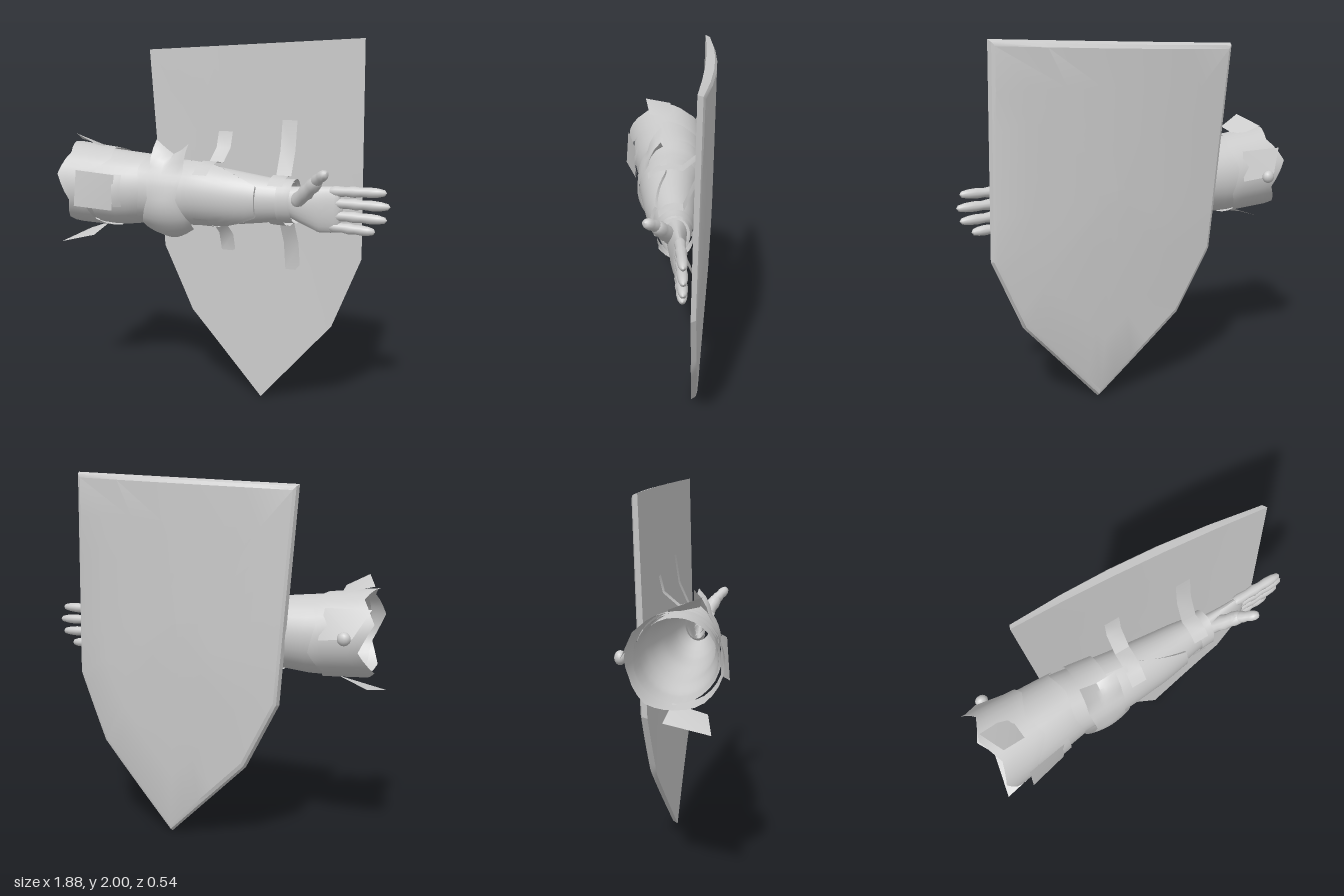
import * as THREE from 'three';
import { toCreasedNormals } from 'three/addons/utils/BufferGeometryUtils.js';

const material = new THREE.MeshStandardMaterial({ color: 0xcccccc, side: THREE.DoubleSide });
const { lerp, clamp } = THREE.MathUtils;
const V = (x, y, z) => new THREE.Vector3(x, y, z);

// Surface from a function of u, v in 0..1
function sheet(name, nu, nv, fn, crease = 0.7) {
  const pos = [], index = [];
  for (let j = 0; j <= nv; j++)
    for (let i = 0; i <= nu; i++) pos.push(...fn(i / nu, j / nv).toArray());
  for (let j = 0; j < nv; j++)
    for (let i = 0; i < nu; i++) {
      const a = j * (nu + 1) + i, b = a + nu + 1;
      index.push(a, a + 1, b, b, a + 1, b + 1);
    }
  const g = new THREE.BufferGeometry();
  g.setAttribute('position', new THREE.Float32BufferAttribute(pos, 3));
  g.setIndex(index);
  const m = new THREE.Mesh(toCreasedNormals(g, crease), material);
  m.name = name;
  return m;
}

// Linear lookup in rows whose first entry is the key
function lookup(rows, k) {
  let i = 0;
  while (i < rows.length - 2 && k > rows[i + 1][0]) i++;
  const t = clamp((k - rows[i][0]) / (rows[i + 1][0] - rows[i][0]), 0, 1);
  return rows[i].map((n, c) => lerp(n, rows[i + 1][c], t));
}

// Sections along x: x, centre y, centre z, radius y, radius z
const ARM = [
  [-0.9, 1.18, 0.03, 0.2, 0.2], [-0.6, 1.16, 0.02, 0.2, 0.19], [-0.44, 1.165, 0.01, 0.185, 0.175],
  [-0.28, 1.16, 0.02, 0.17, 0.165], [-0.1, 1.165, 0.03, 0.16, 0.145], [0.1, 1.155, 0.03, 0.145, 0.125],
  [0.25, 1.155, 0.025, 0.125, 0.105], [0.42, 1.16, 0.025, 0.1, 0.075]];
const PALM = [
  [0.39, 1.155, 0.02, 0.08, 0.055], [0.47, 1.14, 0.02, 0.1, 0.046], [0.56, 1.125, 0.018, 0.122, 0.038],
  [0.64, 1.13, 0.014, 0.122, 0.032], [0.67, 1.13, 0.012, 0.11, 0.024], [0.685, 1.13, 0.012, 0.01, 0.004]];

// Point on a sectioned body; angle 0 is the top, PI/2 the front
function on(rows, x, a, off = 0) {
  const [, cy, cz, ry, rz] = lookup(rows, x);
  return V(x, cy + (ry + off) * Math.cos(a), cz + (rz + off) * Math.sin(a));
}

// Band around the arm with ragged ends, jags in order of angle
function band(name, x0, x1, off0, off1, jag0 = [0, 0], jag1 = [0, 0]) {
  const at = (j, u) => lookup(j.map((n, i) => [i / (j.length - 1), n]), u)[1];
  return sheet(name, 30, 4, (u, v) => {
    const x = lerp(x0 + at(jag0, u), x1 + at(jag1, u), v);
    return on(ARM, x, u * Math.PI * 2, lerp(off0, off1, v));
  });
}

// Flat four-cornered flap
const flap = (name, a, b, c, d) => sheet(name, 1, 1, (u, v) =>
  V(...a).lerp(V(...b), u).lerp(V(...d).lerp(V(...c), u), v));

const OUTLINE = [[-0.55, 1.93], [0.76, 2], [0.78, 0.87], [0.62, 0.48], [0.2, 0], [-0.26, 0.44], [-0.45, 0.8]];
const bow = (x, y) => Math.max(0, 1 - ((x - 0.11) / 0.66) ** 2) * Math.min(1, y);
const shieldFront = (x, y) => -0.12 + 0.1 * (x - 0.11) + 0.018 * (2 - y) - 0.02 * bow(x, y);

// Closed plate: front centre, rim, bevelled back, back centre
function shield() {
  const layers = [[0.001, 0], [0.35, 0], [0.7, 0], [1, 0], [0.985, 1], [0.96, 1.25], [0.7, 1.25], [0.35, 1.25], [0.001, 1.25]];
  const n = OUTLINE.length;
  return sheet('shield', n * 5, layers.length - 1, (u, v) => {
    const [s, back] = layers[Math.round(v * (layers.length - 1))];
    const k = Math.round(u * n * 5), i = Math.floor(k / 5) % n, t = (k % 5) / 5;
    const p = OUTLINE[i], q = OUTLINE[(i + 1) % n];
    const x = lerp(0.12, lerp(p[0], q[0], t), s), y = lerp(1.2, lerp(p[1], q[1], t), s);
    return V(x, y, shieldFront(x, y) - back * (0.025 + 0.021 * bow(x, y)));
  }, 0.35);
}

// Strap from the side of the arm out to the shield; side +1 goes up, -1 down
function strap(x, width, side, reach, skew) {
  const path = [0.85, 0.45, 0, -0.4].map(a => on(ARM, x, side > 0 ? a : Math.PI - a, 0.022));
  const edge = path[3].y;
  path.push(V(x, lerp(edge, reach, 0.45), shieldFront(x, edge) + 0.025));
  path.push(V(x, reach, shieldFront(x, reach) + 0.006));
  return sheet('shieldStrap', 1, path.length - 1, (u, v) => {
    const p = path[Math.round(v * (path.length - 1))].clone();
    p.x += (u - 0.5) * width + skew * v;
    return p;
  });
}

// Finger with knuckle swellings
function finger(name, from, to, r) {
  const d = to.clone().sub(from), len = d.length();
  const profile = [[0.85, 0], [1, 0.1], [0.86, 0.28], [1.02, 0.42], [0.84, 0.56], [0.94, 0.7], [0.82, 0.85], [0.55, 0.96], [0, 1]]
    .map(([w, t]) => new THREE.Vector2(w * r, t * len));
  const m = new THREE.Mesh(new THREE.LatheGeometry(profile, 12), material);
  m.position.copy(from);
  m.quaternion.setFromUnitVectors(V(0, 1, 0), d.normalize());
  m.name = name;
  return m;
}

export function createModel() {
  const model = new THREE.Group();
  model.add(shield());

  // Sleeve and upper arm plates
  model.add(sheet('sleeve', 28, 30, (u, v) => on(ARM, lerp(-0.84, 0.42, v), u * Math.PI * 2)));
  model.add(band('shoulderCuff', -0.89, -0.66, 0.03, 0.022,
    [-0.03, 0.02, -0.02, 0.05, 0, 0.04, -0.04, 0.03, -0.05, 0.02, -0.03],
    [0, 0.04, -0.06, -0.1, -0.06, 0.03, 0, 0.06, 0.02, 0.05, 0]));
  model.add(band('upperArmPlate', -0.72, -0.43, 0.012, 0.008, [0, 0], [0.01, -0.02, 0.01, -0.03, 0.02, 0, 0.03, -0.02, 0.01]));
  model.add(sheet('upperArmTab', 1, 5, (u, v) => on(ARM, lerp(-0.575, -0.525, u), lerp(1.1, 1.95, v), 0.022)));

  // Torn flaps around the shoulder opening
  model.add(flap('topFlap', [-0.9, 1.42, 0], [-0.84, 1.47, 0.15], [-0.72, 1.41, 0.13], [-0.73, 1.38, -0.02]));
  model.add(flap('bottomFlap', [-0.88, 0.89, -0.03], [-0.93, 0.85, 0.2], [-0.73, 0.9, 0.17], [-0.72, 0.95, 0]));
  model.add(flap('frontFlap', [-0.78, 1.28, 0.26], [-0.79, 1.08, 0.275], [-0.58, 1.06, 0.22], [-0.56, 1.26, 0.22]));
  model.add(flap('backFlap', [-0.92, 1.32, -0.16], [-0.84, 1.18, -0.23], [-0.66, 1.16, -0.2], [-0.68, 1.32, -0.15]));
  const knob = new THREE.Mesh(new THREE.SphereGeometry(0.035, 14, 10), material);
  knob.name = 'rivet';
  knob.scale.z = 0.8;
  knob.position.set(-0.8, 1.18, -0.235);
  model.add(knob);

  // Elbow guard: pointed crown, narrow waist, round lower lobe, band behind
  const widths = [[0, -0.37, -0.17], [0.25, -0.375, -0.17], [0.5, -0.36, -0.19], [0.75, -0.42, -0.125], [0.88, -0.41, -0.13], [1, -0.35, -0.2]];
  const crown = [[0, 0.095], [0.25, 0.06], [0.5, 0.03], [0.75, 0.055], [1, 0.095]];
  model.add(sheet('elbowGuard', 8, 16, (u, v) => {
    const [, x0, x1] = lookup(widths, v);
    const top = Math.max(0, 1 - v / 0.2), low = clamp((v - 0.45) / 0.5, 0, 1);
    const off = 0.02 + lookup(crown, u)[1] * top + 0.068 * low * (1 - 0.6 * (2 * u - 1) ** 2);
    return on(ARM, lerp(x0, x1, u), lerp(0.2, Math.PI, v), off);
  }));
  model.add(band('elbowBand', -0.35, -0.2, 0.012, 0.012));

  // Tapering forearm plate with a raised border
  const spread = [[-0.2, 1.5], [-0.02, 1.4], [0.24, 0.65]];
  const forearm = (x, s, off) => on(ARM, x, Math.PI / 2 + s * lookup(spread, x)[1], off);
  model.add(sheet('forearmPlate', 14, 8, (u, v) => forearm(lerp(-0.2, 0.24, v), 2 * u - 1, 0.016)));
  for (const s of [-1, 1])
    model.add(sheet('forearmPlateEdge', 1, 8, (u, v) => forearm(lerp(-0.04, 0.24, v), s, 0.016 * u)));
  model.add(sheet('forearmPlateEnd', 10, 1, (u, v) => forearm(0.24, 2 * u - 1, 0.016 * v)));
  model.add(band('wristCuff', 0.35, 0.435, 0.008, 0.018, [0, 0], [0, -0.01, 0.005, -0.01, 0]));

  // Straps holding the shield
  model.add(strap(-0.07, 0.085, 1, 1.49, 0.02), strap(-0.07, 0.085, -1, 0.82, 0.045));
  model.add(strap(0.345, 0.085, 1, 1.57, 0), strap(0.345, 0.085, -1, 0.76, 0.035));

  // Hand
  const hand = new THREE.Group();
  hand.name = 'hand';
  hand.add(sheet('palm', 24, 15, (u, v) => on(PALM, lerp(0.39, 0.685, v), u * Math.PI * 2)));
  [[1.225, 1.235, 0.915], [1.165, 1.165, 0.935], [1.1, 1.095, 0.92], [1.04, 1.03, 0.86]].forEach(([y0, y1, tip]) =>
    hand.add(finger('finger', V(0.62, y0, 0.012), V(tip, y1, 0.01), 0.029)));
  hand.add(finger('thumbBase', V(0.44, 1.16, 0.04), V(0.6, 1.305, 0.13), 0.042));
  hand.add(finger('thumb', V(0.54, 1.265, 0.095), V(0.65, 1.345, 0.18), 0.031));
  model.add(hand);
  return model;
}
